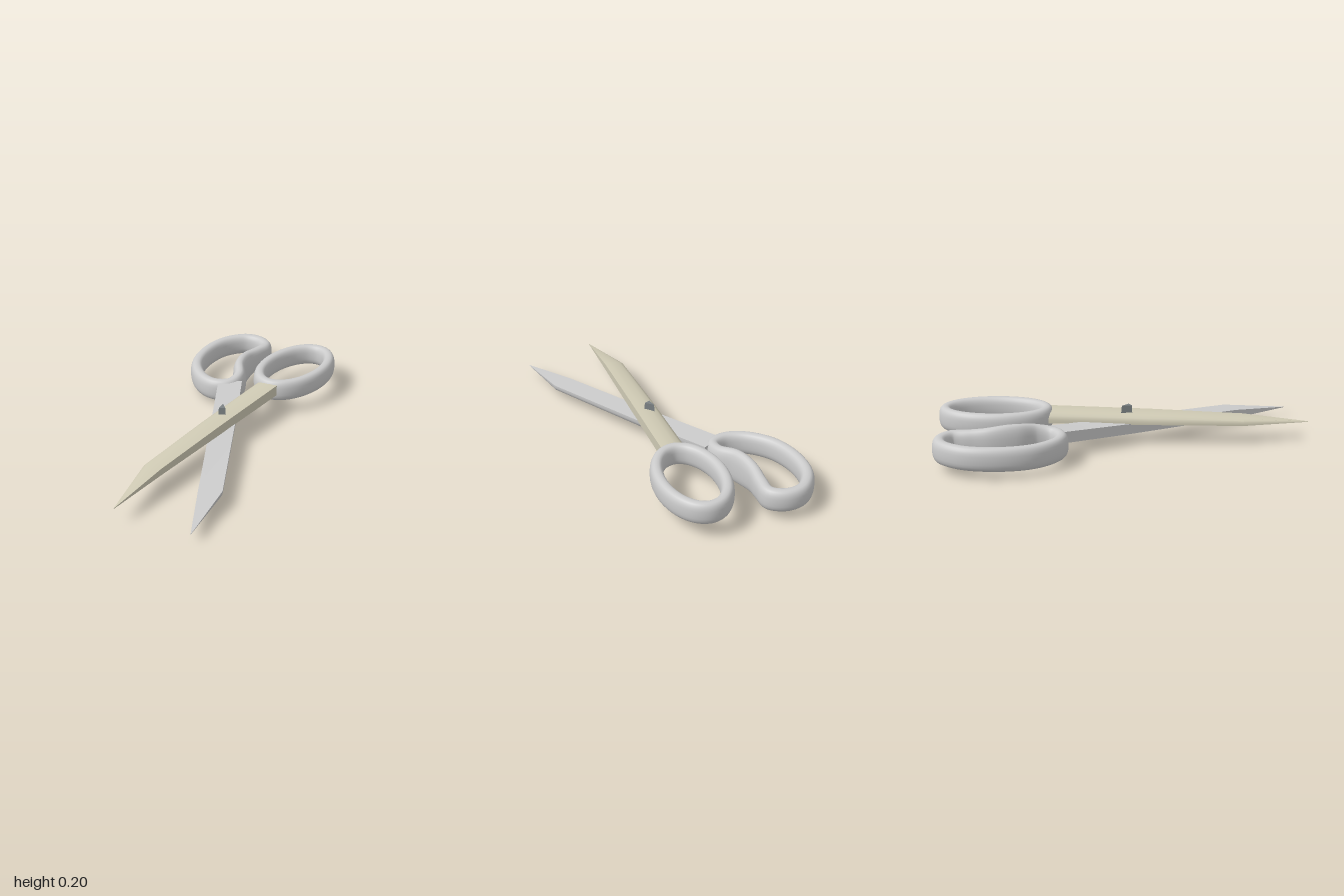
import * as THREE from 'three';
import { toCreasedNormals } from 'three/addons/utils/BufferGeometryUtils.js';

function build(points, index) {
  const geo = new THREE.BufferGeometry();
  geo.setAttribute('position', new THREE.Float32BufferAttribute(points, 3));
  geo.setIndex(index);
  return geo;
}

// Blade cross-section: u runs from the spine to the cutting side, v from the flat to the crown
const SECTION = [[0, 0], [0, 0.95], [0.25, 1], [0.55, 0.97], [0.8, 0.84], [0.94, 0.62], [1, 0.3], [1, 0]];

// stations: [fraction of length, width, height of flat face, thickness]
function bladeGeometry(start, tip, up, stations) {
  const along = new THREE.Vector2().subVectors(tip, start);
  const dir = along.clone().normalize();
  const across = new THREE.Vector2(dir.y, -dir.x).multiplyScalar(up > 0 ? -1 : 1);
  const points = [], index = [], n = SECTION.length;
  for (const [f, width, flat, thick] of stations) {
    for (const [u, v] of SECTION) {
      points.push(
        start.x + along.x * f + across.x * width * u,
        flat + up * thick * v,
        start.y + along.y * f + across.y * width * u);
    }
  }
  for (let j = 0; j < stations.length - 1; j++) {
    for (let i = 0; i < n; i++) {
      const p = j * n + i, q = j * n + (i + 1) % n;
      index.push(p, q, q + n, p, q + n, p + n);
    }
  }
  const last = (stations.length - 1) * n;
  for (let i = 1; i < n - 1; i++) {
    index.push(0, i + 1, i, last, last + i, last + i + 1);
  }
  return toCreasedNormals(build(points, index), 0.6);
}

// Closed finger loop with a rounded, upright section whose half height may vary
function loopGeometry(pathPoints, halfWidth, halfHeight) {
  const curve = new THREE.CatmullRomCurve3(pathPoints, true);
  const rings = 112, sides = 24, points = [], index = [];
  const round = (c) => Math.sign(c) * Math.pow(Math.abs(c), 0.8);
  for (let j = 0; j < rings; j++) {
    const p = curve.getPointAt(j / rings), t = curve.getTangentAt(j / rings);
    const len = Math.hypot(t.x, t.z), h = halfHeight(p);
    for (let i = 0; i < sides; i++) {
      const a = (i / sides) * Math.PI * 2;
      const w = halfWidth * round(Math.cos(a));
      points.push(p.x + (t.z / len) * w, p.y + h * round(Math.sin(a)), p.z - (t.x / len) * w);
      const i2 = (i + 1) % sides, j2 = (j + 1) % rings;
      const A = j * sides + i, B = j * sides + i2, C = j2 * sides + i2, D = j2 * sides + i;
      index.push(A, B, C, A, C, D);
    }
  }
  const geo = build(points, index);
  geo.computeVertexNormals();
  return geo;
}

export function createModel() {
  const group = new THREE.Group();
  const grey = new THREE.MeshStandardMaterial({ color: 0xcccccc });
  const beige = new THREE.MeshStandardMaterial({ color: 0xcfcab4 });
  const dark = new THREE.MeshStandardMaterial({ color: 0x7c8284, flatShading: true });
  const add = (name, geo, mat) => {
    const mesh = new THREE.Mesh(geo, mat);
    mesh.name = name;
    group.add(mesh);
    return mesh;
  };

  // Upper blade, slanting across the lower one, crown upward
  add('upperBlade', bladeGeometry(new THREE.Vector2(0.2, -0.3), new THREE.Vector2(-0.485, 0.88), 1, [
    [0, 0.134, 0.115, 0.06], [0.4, 0.125, 0.104, 0.052],
    [0.75, 0.108, 0.096, 0.036], [1, 0.003, 0.086, 0.003],
  ]), beige);

  // Lower blade, crown downward
  add('lowerBlade', bladeGeometry(new THREE.Vector2(-0.14, -0.39), new THREE.Vector2(-0.12, 1), -1, [
    [0, 0.128, 0.132, 0.062], [0.3, 0.126, 0.11, 0.056],
    [0.77, 0.115, 0.083, 0.046], [1, 0.003, 0.052, 0.003],
  ]), grey);

  // Oval thumb loop, its long axis in line with the upper blade
  const oval = [];
  for (let i = 0; i < 16; i++) {
    const a = (i / 16) * Math.PI * 2, l = 0.26 * Math.cos(a), s = 0.153 * Math.sin(a);
    oval.push(new THREE.Vector3(0.267 + 0.5 * l + 0.866 * s, 0.132, -0.54 - 0.866 * l + 0.5 * s));
  }
  add('thumbLoop', loopGeometry(oval, 0.033, () => 0.0575), grey);

  // Kidney-shaped finger loop, deepest along its inward curve
  const kidney = [
    [-0.04, -0.962], [0.045, -0.935], [0.085, -0.865], [0.045, -0.785], [-0.01, -0.69],
    [-0.04, -0.57], [-0.035, -0.46], [-0.08, -0.388], [-0.16, -0.385], [-0.235, -0.45],
    [-0.283, -0.6], [-0.25, -0.77], [-0.16, -0.905],
  ].map(([x, z]) => new THREE.Vector3(x, 0.07 - 0.03 * z, z));
  add('fingerLoop', loopGeometry(kidney, 0.035, (p) => {
    const d = Math.hypot(p.x + 0.02, p.z + 0.59) / 0.16;
    return 0.058 + 0.032 * Math.exp(-d * d);
  }), grey);

  // Tapered three-sided pivot pin through both blades
  const pin = add('pivotPin', new THREE.CylinderGeometry(0.026, 0.038, 0.15, 3), dark);
  pin.rotation.y = Math.PI;
  pin.scale.set(0.75, 1, 1.25);
  pin.position.set(-0.075, 0.119, 0.037);

  return group;
}
